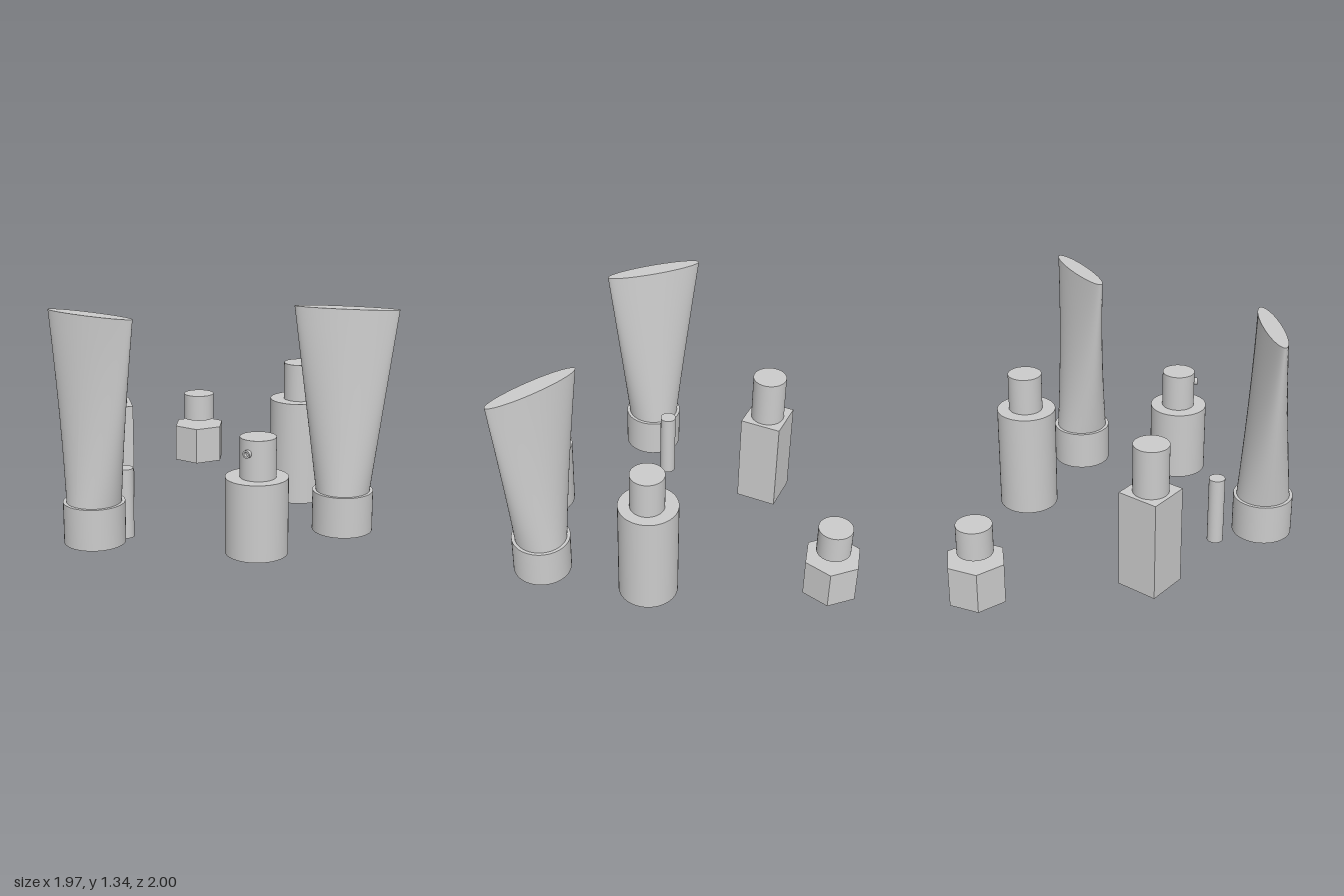
import * as THREE from 'three';

const smooth = new THREE.MeshStandardMaterial({ color: 0xcccccc });
const faceted = new THREE.MeshStandardMaterial({ color: 0xcccccc, flatShading: true });
const BASE = 0.055, BODY_R = 0.172, NECK_R = 0.099;

// Upright prism or cylinder between two heights
function column(name, r, y0, y1, sides = 48, x = 0, z = 0) {
  const geo = new THREE.CylinderGeometry(r, r, y1 - y0, sides, 1, false, Math.PI / 2);
  const mesh = new THREE.Mesh(geo, sides < 12 ? faceted : smooth);
  mesh.name = name;
  mesh.position.set(x, (y0 + y1) / 2, z);
  return mesh;
}

// Squeeze tube: round at the cap, blending to a flat ellipse at the crimped end
function squeezeTube(name, x, z, turn) {
  const group = new THREE.Group();
  group.name = name;
  const y0 = 0.29, y1 = 1.335;
  const geo = new THREE.CylinderGeometry(1, 1, y1 - y0, 64, 10);
  const pos = geo.attributes.position;
  for (let i = 0; i < pos.count; i++) {
    const t = pos.getY(i) / (y1 - y0) + 0.5;
    pos.setX(i, pos.getX(i) * THREE.MathUtils.lerp(0.153, 0.293, t));
    pos.setZ(i, pos.getZ(i) * THREE.MathUtils.lerp(0.153, 0.053, t));
  }
  geo.computeVertexNormals();
  const body = new THREE.Mesh(geo, smooth);
  body.name = 'tubeBody';
  body.position.y = (y0 + y1) / 2;
  group.add(column('tubeCap', BODY_R, BASE, y0), body);
  group.position.set(x, 0, z);
  group.rotation.y = turn;
  return group;
}

// Bottle: body with a round neck on top
function bottle({ name, x, z, sides, top, neckFrom = top, neckTop, neckX = 0, neckZ = 0 }) {
  const group = new THREE.Group();
  group.name = name;
  group.add(
    column('bottleBody', BODY_R, BASE, top, sides),
    column('bottleNeck', NECK_R, neckFrom, neckTop, 48, neckX, neckZ)
  );
  group.position.set(x, 0, z);
  return group;
}

export function createModel() {
  const model = new THREE.Group();
  model.name = 'bottleSet';

  model.add(
    squeezeTube('frontTube', -0.325, 0.825, 0),
    squeezeTube('turnedTube', 0.708, -0.132, THREE.MathUtils.degToRad(20))
  );

  const bottles = [
    { name: 'hexagonalBottle', x: -0.815, z: -0.851, sides: 6, top: 0.29, neckFrom: 0.332, neckTop: 0.5 },
    { name: 'squareBottle', x: -0.8, z: 0.092, sides: 4, top: 0.63, neckTop: 0.91 },
    { name: 'tallRoundBottle', x: 0.18, z: -0.51, sides: 48, top: 0.675, neckTop: 0.897, neckX: 0.007, neckZ: -0.003 },
    { name: 'pumpBottle', x: 0.512, z: 0.462, sides: 48, top: 0.485, neckTop: 0.708, neckX: 0.006, neckZ: -0.002 },
  ];
  bottles.forEach((b) => model.add(bottle(b)));

  // Hollow spout on the front of the pump neck
  const ring = new THREE.Shape().absarc(0, 0, 0.022, 0, Math.PI * 2);
  ring.holes.push(new THREE.Path().absarc(0, 0, 0.013, 0, Math.PI * 2, true));
  const spout = new THREE.Mesh(
    new THREE.ExtrudeGeometry(ring, { depth: 0.035, bevelEnabled: false, curveSegments: 24 }), smooth);
  spout.name = 'pumpSpout';
  spout.position.set(0.518, 0.635, 0.543);
  model.add(spout);

  // Slim stick standing behind the front tube
  model.add(column('slimStick', 0.047, 0, 0.41, 32, -0.326, 0.55));

  return model;
}
